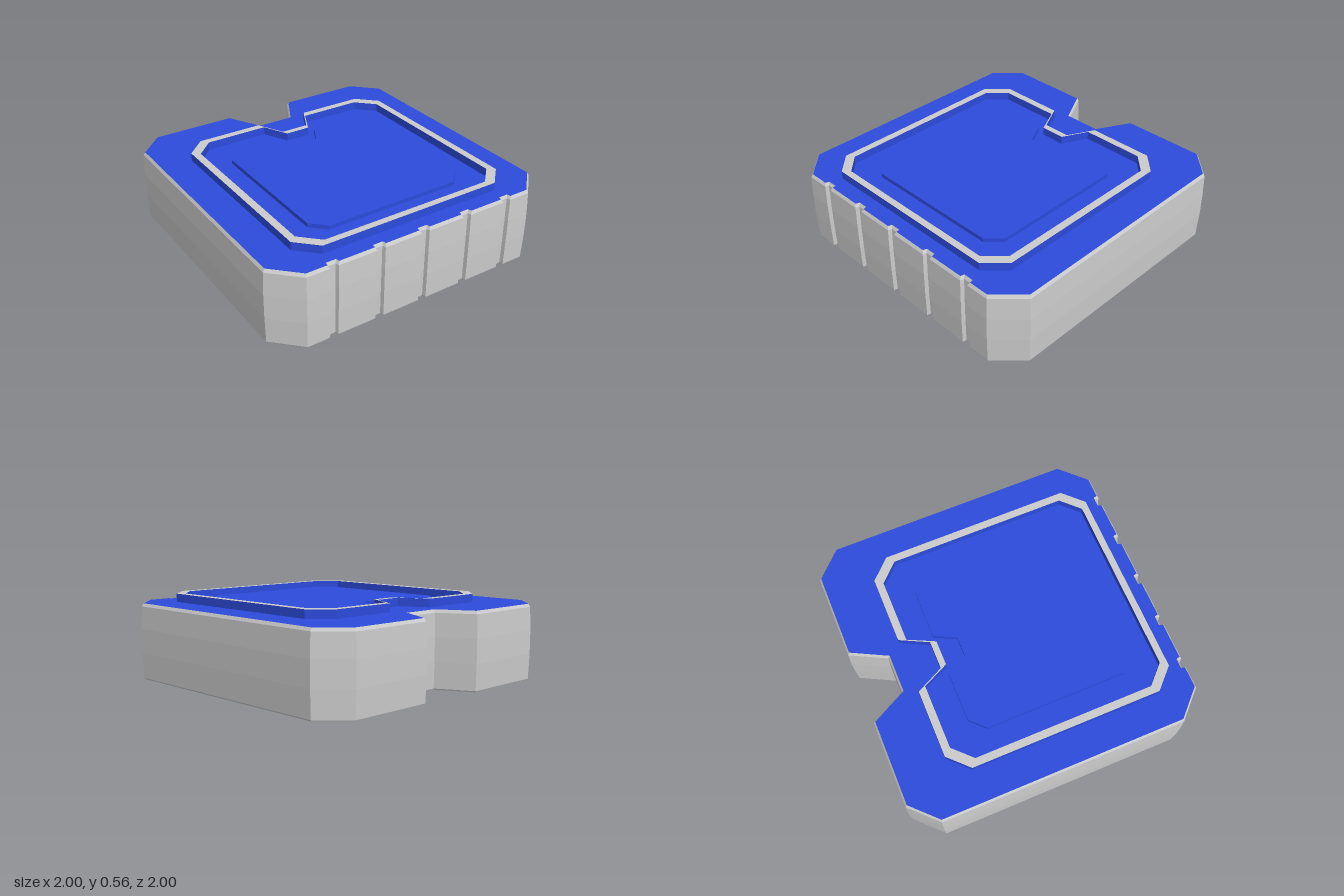
import * as THREE from 'three';

const grey = new THREE.MeshStandardMaterial({ color: 0xcccccc, flatShading: true });
const blue = new THREE.MeshStandardMaterial({ color: 0x2c4bdc, flatShading: true });

// Square plan with cut corners and a tapered notch in the back edge.
// Counter-clockwise, in plan coordinates (x, -z); grooves run along the front edge.
function outline({ w, back, front, cut, mouth, floor, notchZ, grooves = [] }) {
  const p = [[-w + cut, front]];
  for (const x of grooves) {
    p.push([x - 0.025, front], [x - 0.019, front - 0.025], [x + 0.019, front - 0.025], [x + 0.025, front]);
  }
  p.push(
    [w - cut, front], [w, front - cut], [w, back + cut], [w - cut, back],
    [mouth, back], [floor, notchZ], [-floor, notchZ], [-mouth, back],
    [-w + cut, back], [-w, back + cut], [-w, front - cut]
  );
  return p.map(([x, z]) => new THREE.Vector2(x, -z));
}

// Move every edge inward by d, with mitred corners
function inset(points, d) {
  const n = points.length;
  const normal = (a, b) => {
    const e = b.clone().sub(a).normalize();
    return new THREE.Vector2(-e.y, e.x);
  };
  return points.map((p, i) => {
    const n1 = normal(points[(i + n - 1) % n], p);
    const n2 = normal(p, points[(i + 1) % n]);
    return p.clone().addScaledVector(n1.clone().add(n2), d / (1 + n1.dot(n2)));
  });
}

// Side walls through a list of [height, inset] levels
function walls(points, levels) {
  const rings = levels.map(([y, d]) => inset(points, d).map(p => [p.x, y, -p.y]));
  const pos = [];
  for (let k = 0; k + 1 < rings.length; k++) {
    const lo = rings[k], hi = rings[k + 1];
    for (let i = 0; i < points.length; i++) {
      const j = (i + 1) % points.length;
      pos.push(...lo[i], ...lo[j], ...hi[j], ...lo[i], ...hi[j], ...hi[i]);
    }
  }
  const g = new THREE.BufferGeometry();
  g.setAttribute('position', new THREE.Float32BufferAttribute(pos, 3));
  g.computeVertexNormals();
  return g;
}

// Flat plate in plan, facing up
function plate(points, y) {
  return new THREE.ShapeGeometry(new THREE.Shape(points)).rotateX(-Math.PI / 2).translate(0, y, 0);
}

// Vertical prism from y0 to y1, with an optional hole
function prism(points, y0, y1, hole) {
  const shape = new THREE.Shape(points);
  if (hole) shape.holes.push(new THREE.Path(hole));
  return new THREE.ExtrudeGeometry(shape, { depth: y1 - y0, bevelEnabled: false })
    .rotateX(-Math.PI / 2).translate(0, y0, 0);
}

export function createModel() {
  const group = new THREE.Group();
  const add = (name, geometry, material) => {
    const mesh = new THREE.Mesh(geometry, material);
    mesh.name = name;
    group.add(mesh);
  };

  const top = 0.51;
  const levels = [[0, 0.01], [0.008, 0.006], [0.18, 0], [0.34, 0], [0.49, 0.006], [top, 0.018]];
  const body = outline({
    w: 1, back: -1, front: 1, cut: 0.175, mouth: 0.24, floor: 0.118, notchZ: -0.765,
    grooves: [-0.64, -0.32, 0, 0.32, 0.64]
  });

  // Body with chamfered rim and coloured deck
  add('bodyWalls', walls(body, levels), grey);
  add('deck', plate(inset(body, 0.018), top), blue);
  const base = plate(inset(body, 0.01).map(p => new THREE.Vector2(p.x, -p.y)), 0);
  add('base', base.rotateX(Math.PI), grey);

  // Raised rim: grey top, coloured sides
  const rimOuter = outline({ w: 0.77, back: -0.66, front: 0.875, cut: 0.13, mouth: 0.188, floor: 0.095, notchZ: -0.475 });
  const rimInner = outline({ w: 0.72, back: -0.61, front: 0.83, cut: 0.12, mouth: 0.17, floor: 0.085, notchZ: -0.435 });
  add('rim', prism(rimOuter, top, 0.565, rimInner), [grey, blue]);

  // Low raised panel inside the rim
  const panel = outline({ w: 0.565, back: -0.44, front: 0.685, cut: 0.093, mouth: 0.138, floor: 0.066, notchZ: -0.3 });
  add('centrePanel', prism(panel, top, 0.537), blue);

  return group;
}
